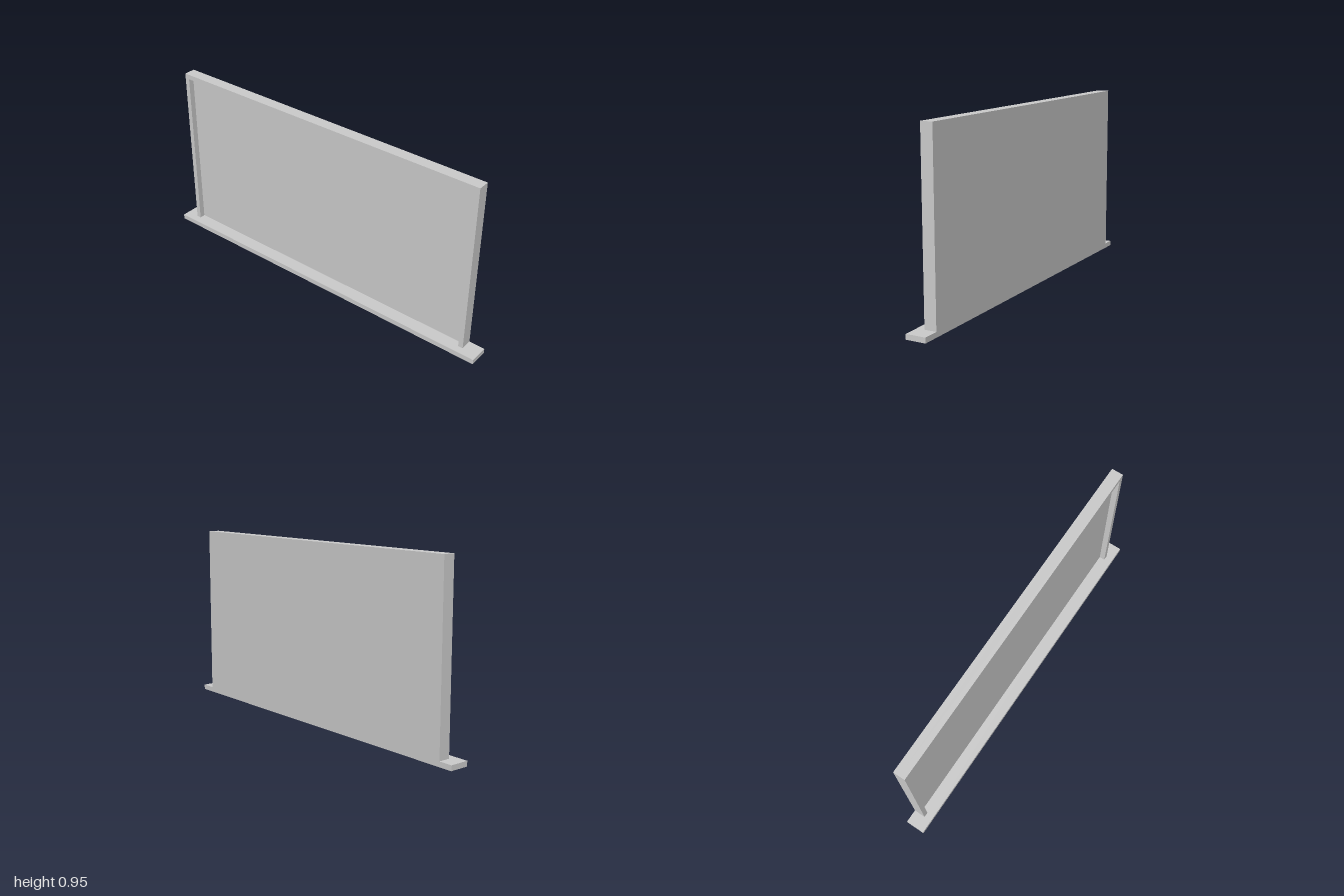
import * as THREE from 'three';

const BACK = -0.052, FRONT = 0.011;         // frame depth
const LEFT = -0.928, RIGHT = 0.915;         // frame outer sides
const BASE_TOP = 0.027, TOP = 0.953;
const RIM = 0.026, PANEL_FRONT = -0.02;

export function createModel() {
  const group = new THREE.Group();
  const material = new THREE.MeshStandardMaterial({ color: 0xcccccc });

  // box given by its two opposite corners
  const addBox = (name, [x0, y0, z0], [x1, y1, z1]) => {
    const mesh = new THREE.Mesh(new THREE.BoxGeometry(x1 - x0, y1 - y0, z1 - z0), material);
    mesh.position.set((x0 + x1) / 2, (y0 + y1) / 2, (z0 + z1) / 2);
    mesh.name = name;
    group.add(mesh);
  };

  // sill board, wider and deeper than the frame
  addBox('sill', [-1, 0, BACK], [1, BASE_TOP, 0.052]);

  // solid panel closing the back
  addBox('panel', [LEFT, BASE_TOP, BACK], [RIGHT, TOP, PANEL_FRONT]);

  // three-sided raised rim in front of the panel
  const outline = new THREE.Shape([
    [LEFT, BASE_TOP], [LEFT + RIM, BASE_TOP], [LEFT + RIM, TOP - RIM], [RIGHT - RIM, TOP - RIM],
    [RIGHT - RIM, BASE_TOP], [RIGHT, BASE_TOP], [RIGHT, TOP], [LEFT, TOP],
  ].map(([x, y]) => new THREE.Vector2(x, y)));
  const rim = new THREE.Mesh(
    new THREE.ExtrudeGeometry(outline, { depth: FRONT - PANEL_FRONT, bevelEnabled: false }), material);
  rim.position.z = PANEL_FRONT;
  rim.name = 'frameRim';
  group.add(rim);

  return group;
}
